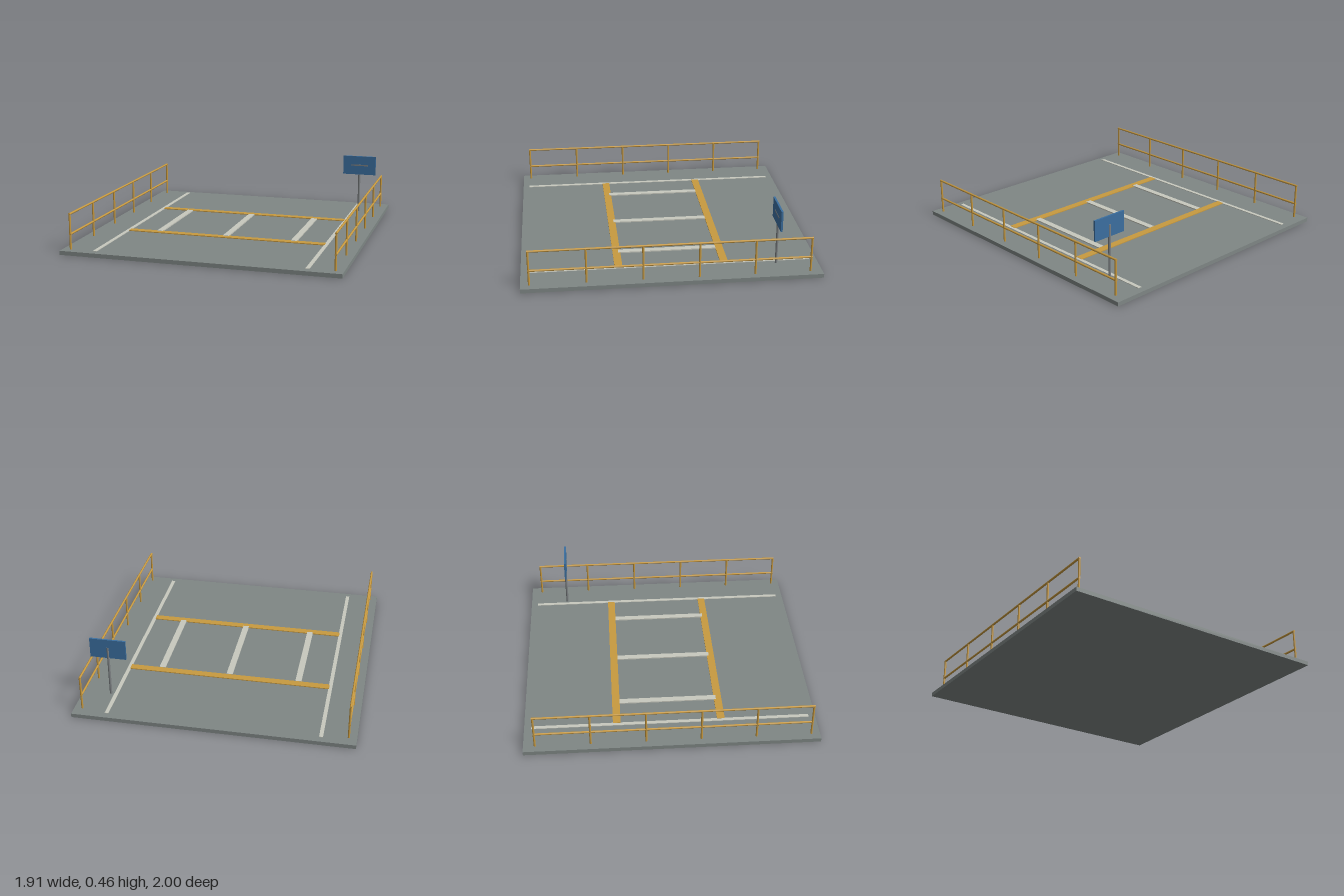
import * as THREE from 'three';

const mat = (name, color) => {
  const m = new THREE.MeshStandardMaterial({ color });
  m.name = name;
  return m;
};

export function createModel() {
  const group = new THREE.Group();
  const concrete = mat('concrete grey', 0x7f8785);
  const white = mat('line white', 0xc8c9be);
  const yellow = mat('safety yellow', 0xc89a40);
  const blue = mat('sign blue', 0x3b6fa0);
  const steel = mat('steel grey', 0x7d8183);

  const add = (parent, name, geometry, material, x, y, z) => {
    const mesh = new THREE.Mesh(geometry, material);
    mesh.name = name;
    mesh.position.set(x, y, z);
    parent.add(mesh);
    return mesh;
  };
  const box = (name, material, w, h, d, x, y, z, parent = group) =>
    add(parent, name, new THREE.BoxGeometry(w, h, d), material, x, y, z);

  // Deck slab
  const top = 0.028;
  box('deckSlab', concrete, 1.914, top, 2, 0, top / 2, 0);

  // Painted markings: edge lines, cross bands and bay dividers
  for (const s of [-1, 1]) box('edgeLine', white, 0.026, 0.004, 1.906, s * 0.724, top + 0.002, 0);
  for (const z of [-0.369, 0.347]) box('crossBand', yellow, 1.432, 0.006, 0.053, 0, top + 0.003, z);
  for (const x of [-0.494, 0, 0.491]) box('bayLine', white, 0.043, 0.008, 0.677, x, top + 0.004, -0.004);

  // Guard rails along both sides
  const r = 0.0072;
  const zFront = 0.941, zBack = -0.921, railTop = 0.271;
  for (const s of [-1, 1]) {
    const rail = new THREE.Group();
    rail.name = s > 0 ? 'leftGuardRail' : 'rightGuardRail';
    rail.position.x = s * 0.902;
    group.add(rail);
    for (let i = 0; i < 6; i++) {
      const h = railTop - top;
      add(rail, 'railPost', new THREE.CylinderGeometry(r, r, h, 12), yellow,
        0, top + h / 2, zFront + (zBack - zFront) * i / 5);
    }
    for (const y of [0.132, railTop]) {
      const bar = add(rail, 'railBar', new THREE.CylinderGeometry(r, r, zFront - zBack + 2 * r, 12), yellow,
        0, y, (zFront + zBack) / 2);
      bar.rotation.x = Math.PI / 2;
    }
  }

  // Sign on a post
  const sign = new THREE.Group();
  sign.name = 'sign';
  sign.position.set(0.762, 0, -0.716);
  group.add(sign);
  const postTop = 0.4;
  add(sign, 'signPost', new THREE.CylinderGeometry(0.0085, 0.0085, postTop - top, 14), steel,
    0, (postTop + top) / 2, -0.001);
  box('signPanel', blue, 0.25, 0.142, 0.013, 0, 0.389, 0.002, sign);
  box('signStripe', steel, 0.13, 0.01, 0.002, 0, 0.39, 0.009, sign);

  return group;
}
